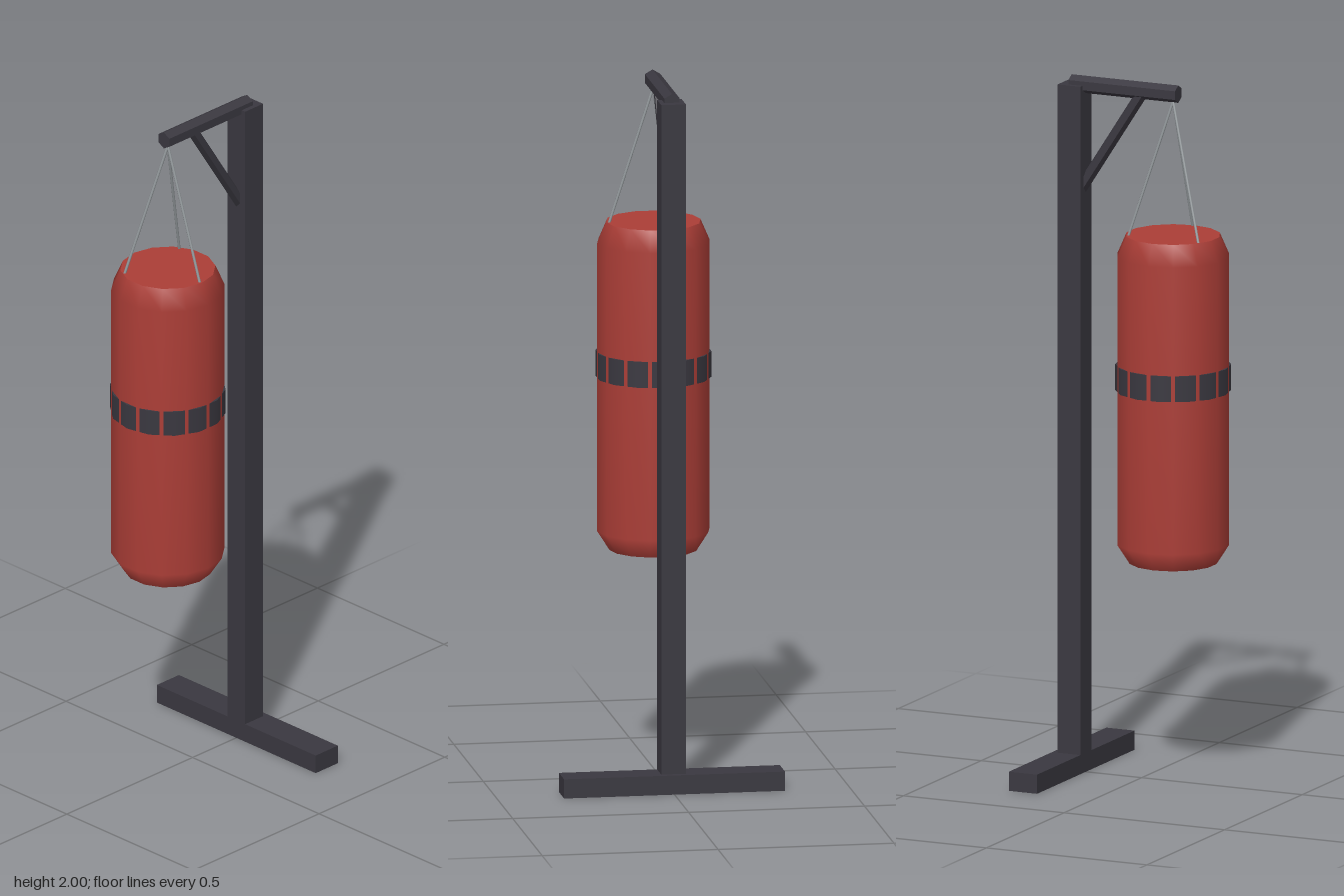
import * as THREE from 'three';

const SIDES = 14;   // facets around the bag
const BAG_Z = 0.098;

export function createModel() {
  const frameMat = new THREE.MeshStandardMaterial({ color: 0x3a3840 });
  frameMat.name = 'charcoal frame';
  const bagMat = new THREE.MeshStandardMaterial({ color: 0xac3e37 });
  bagMat.name = 'red leather';
  const cableMat = new THREE.MeshStandardMaterial({ color: 0x959b9e });
  cableMat.name = 'steel cable';

  const model = new THREE.Group();
  model.name = 'punchingBagStand';

  const add = (parent, name, geometry, material, x = 0, y = 0, z = 0) => {
    const mesh = new THREE.Mesh(geometry, material);
    mesh.name = name;
    mesh.position.set(x, y, z);
    parent.add(mesh);
    return mesh;
  };

  // Straight round bar between two points
  const bar = (parent, name, from, to, radius, sides, material) => {
    const dir = to.clone().sub(from);
    const mesh = add(parent, name, new THREE.CylinderGeometry(radius, radius, dir.length(), sides), material);
    mesh.position.copy(from).add(to).multiplyScalar(0.5);
    mesh.quaternion.setFromUnitVectors(new THREE.Vector3(0, 1, 0), dir.normalize());
    return mesh;
  };
  const v = (x, y, z) => new THREE.Vector3(x, y, z);

  // Stand: foot, post, hexagonal arm and diagonal brace
  const stand = new THREE.Group();
  stand.name = 'stand';
  model.add(stand);
  add(stand, 'foot', new THREE.BoxGeometry(0.628, 0.055, 0.088), frameMat, 0, 0.0275, -0.218);
  add(stand, 'post', new THREE.BoxGeometry(0.07, 1.925, 0.071), frameMat, 0, 1.0125, -0.2095);
  // hexagonal bars are flat-sided
  const hexMat = frameMat.clone();
  hexMat.flatShading = true;
  hexMat.name = 'charcoal frame, faceted';
  bar(stand, 'arm', v(0, 1.975, -0.218), v(0, 1.975, 0.114), 0.025, 6, hexMat);
  bar(stand, 'brace', v(0, 1.965, 0), v(0, 1.675, -0.188), 0.017, 6, hexMat);

  // Bag: tapered ends, smooth wall, flat caps
  const bag = new THREE.Group();
  bag.name = 'bag';
  bag.position.z = BAG_Z;
  model.add(bag);
  const [bottomY, topY, bottomR, topR] = [0.63, 1.57, 0.125, 0.134];
  const profile = [
    [bottomR, bottomY], [0.16, 0.685], [0.16, 1.51], [topR, topY],
  ].map(([r, y]) => new THREE.Vector2(r, y));
  const wall = add(bag, 'bagWall', new THREE.LatheGeometry(profile, SIDES), bagMat);
  wall.rotation.y = Math.PI / 2;
  const topCap = add(bag, 'bagTop', new THREE.CircleGeometry(topR, SIDES), bagMat, 0, topY, 0);
  topCap.rotation.x = -Math.PI / 2;
  const bottomCap = add(bag, 'bagBottom', new THREE.CircleGeometry(bottomR, SIDES), bagMat, 0, bottomY, 0);
  bottomCap.rotation.x = Math.PI / 2;

  // Band turned half a facet, so it shows as a row of patches
  add(bag, 'band', new THREE.CylinderGeometry(0.1628, 0.1628, 0.074, SIDES), frameMat, 0, 1.161, 0);

  // Three cables from the arm to the top rim
  for (let i = 0; i < 3; i++) {
    const a = (i * Math.PI * 2) / 3;
    bar(bag, 'cable', v(0, 1.953, 0), v(Math.cos(a) * 0.126, topY - 0.003, Math.sin(a) * 0.126),
      0.004, 6, cableMat);
  }

  return model;
}
